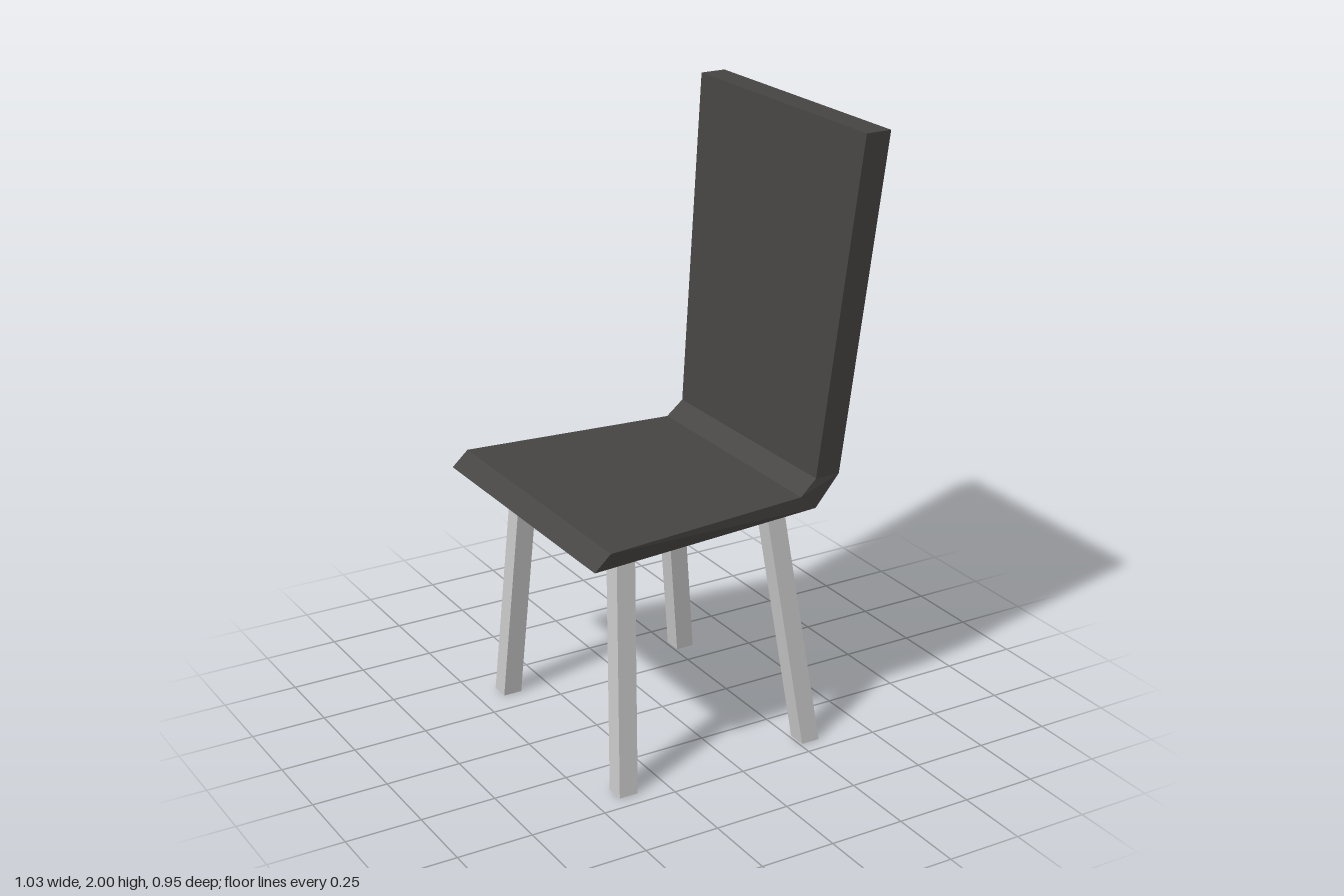
import * as THREE from 'three';

// Skins a row of four-cornered rings with flat-shaded faces, optionally capping the ends.
function loft(rings, capped) {
  const index = [];
  for (let i = 0; i < rings.length - 1; i++) {
    for (let j = 0; j < 4; j++) {
      const a = i * 4 + j, b = i * 4 + (j + 1) % 4;
      index.push(a, b, b + 4, a, b + 4, a + 4);
    }
  }
  if (capped) {
    const e = (rings.length - 1) * 4;
    index.push(0, 2, 1, 0, 3, 2, e, e + 1, e + 2, e, e + 2, e + 3);
  }
  const indexed = new THREE.BufferGeometry();
  indexed.setAttribute('position', new THREE.Float32BufferAttribute(rings.flat(2), 3));
  indexed.setIndex(index);
  const geometry = indexed.toNonIndexed();
  geometry.computeVertexNormals();
  return geometry;
}

export function createModel() {
  const chair = new THREE.Group();
  chair.name = 'chair';

  const shellMaterial = new THREE.MeshStandardMaterial({ color: 0x474543, flatShading: true });
  const legMaterial = new THREE.MeshStandardMaterial({
    color: 0xcccccc, flatShading: true, side: THREE.DoubleSide,
  });

  // Seat and backrest: one bent slab; outer x, y, inner x, y, outer and inner half width
  const sections = [
    [-0.513, 0.8, -0.458, 0.85, 0.477, 0.477],
    [0.318, 0.8, 0.26, 0.85, 0.404, 0.408],
    [0.403, 0.9, 0.317, 0.9, 0.404, 0.404],
    [0.512, 2, 0.424, 2, 0.466, 0.466],
  ];
  const shell = new THREE.Mesh(loft(sections.map(([ox, oy, ix, iy, ow, iw]) => [
    [ox, oy, ow], [ox, oy, -ow], [ix, iy, -iw], [ix, iy, iw],
  ]), true), shellMaterial);
  shell.name = 'seatAndBackrest';
  chair.add(shell);

  // Legs: splayed square tubes, open at the ends
  const h = 0.032;
  const square = (x, y, z) => [
    [x + h, y, z + h], [x + h, y, z - h], [x - h, y, z - h], [x - h, y, z + h],
  ];
  const alongX = [['front', -0.386, -0.34], ['rear', 0.291, 0.198]];
  const alongZ = [['A', 0.416, 0.326], ['B', -0.369, -0.302]];
  for (const [end, footX, topX] of alongX) {
    for (const [side, footZ, topZ] of alongZ) {
      const leg = new THREE.Mesh(
        loft([square(footX, 0, footZ), square(topX, 0.8, topZ)], false), legMaterial);
      leg.name = `${end}Leg${side}`;
      chair.add(leg);
    }
  }

  return chair;
}
